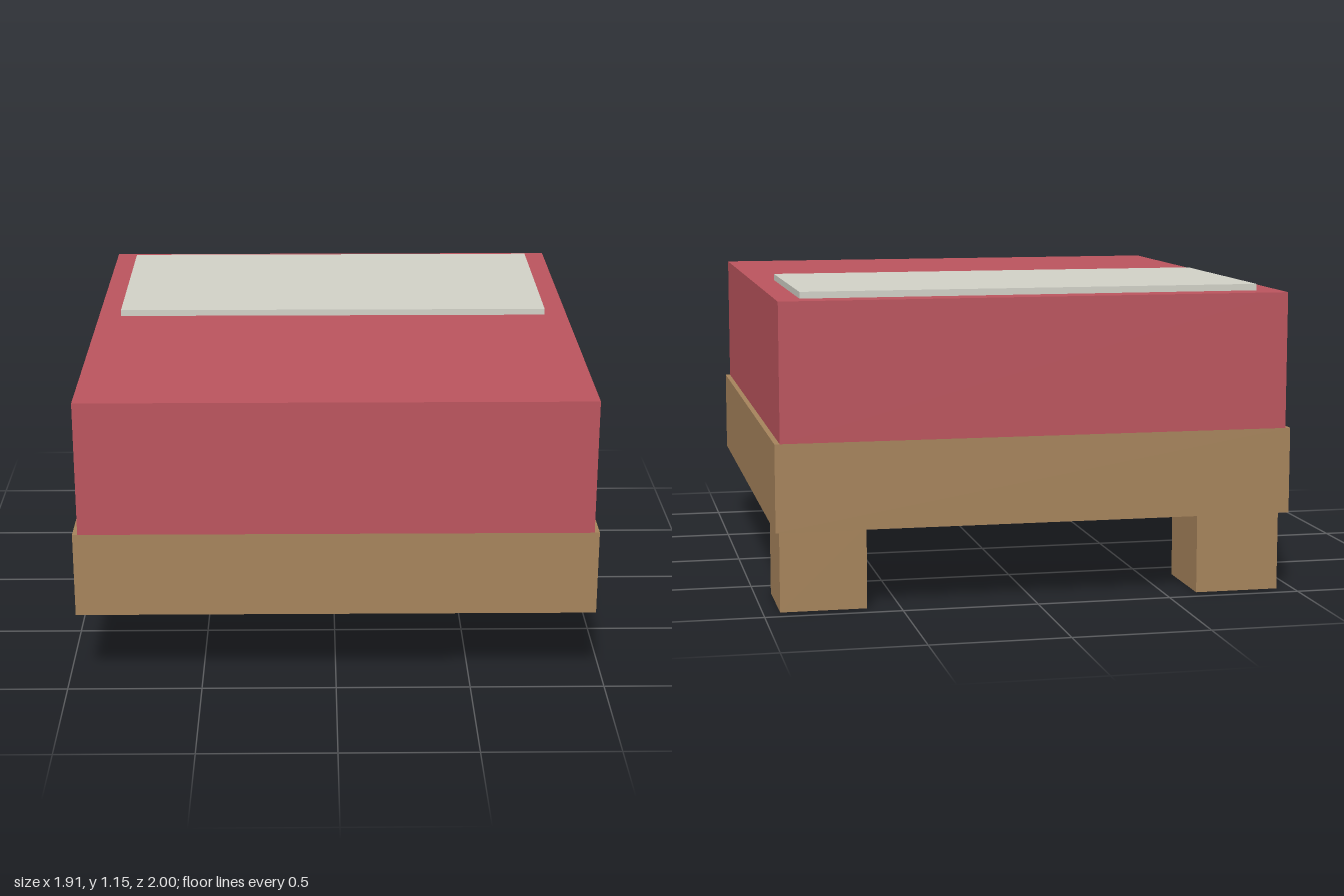
import * as THREE from 'three';

export function createModel() {
  const model = new THREE.Group();
  const wood = new THREE.MeshStandardMaterial({ color: 0xa5835b });
  const red = new THREE.MeshStandardMaterial({ color: 0xba545d });
  const linen = new THREE.MeshStandardMaterial({ color: 0xd0d0c6 });

  // Box given by its minimum and maximum corners
  function addBox(name, material, min, max) {
    const size = max.map((v, i) => v - min[i]);
    const mesh = new THREE.Mesh(new THREE.BoxGeometry(...size), material);
    mesh.position.set(...max.map((v, i) => (v + min[i]) / 2));
    mesh.name = name;
    model.add(mesh);
  }

  // Bed base, blanket-covered mattress and flat pillow
  addBox('bedFrame', wood, [-0.957, 0.303, -1], [0.957, 0.622, 1]);
  addBox('mattress', red, [-0.938, 0.622, -1], [0.938, 1.126, 1]);
  addBox('pillow', linen, [-0.85, 1.126, -0.9], [0.85, 1.15, -0.06]);

  // Two legs under the head end
  for (const [name, x] of [['leftLeg', 0.78], ['rightLeg', -0.78]]) {
    addBox(name, wood, [x - 0.158, 0, -0.938], [x + 0.158, 0.303, -0.622]);
  }

  return model;
}
